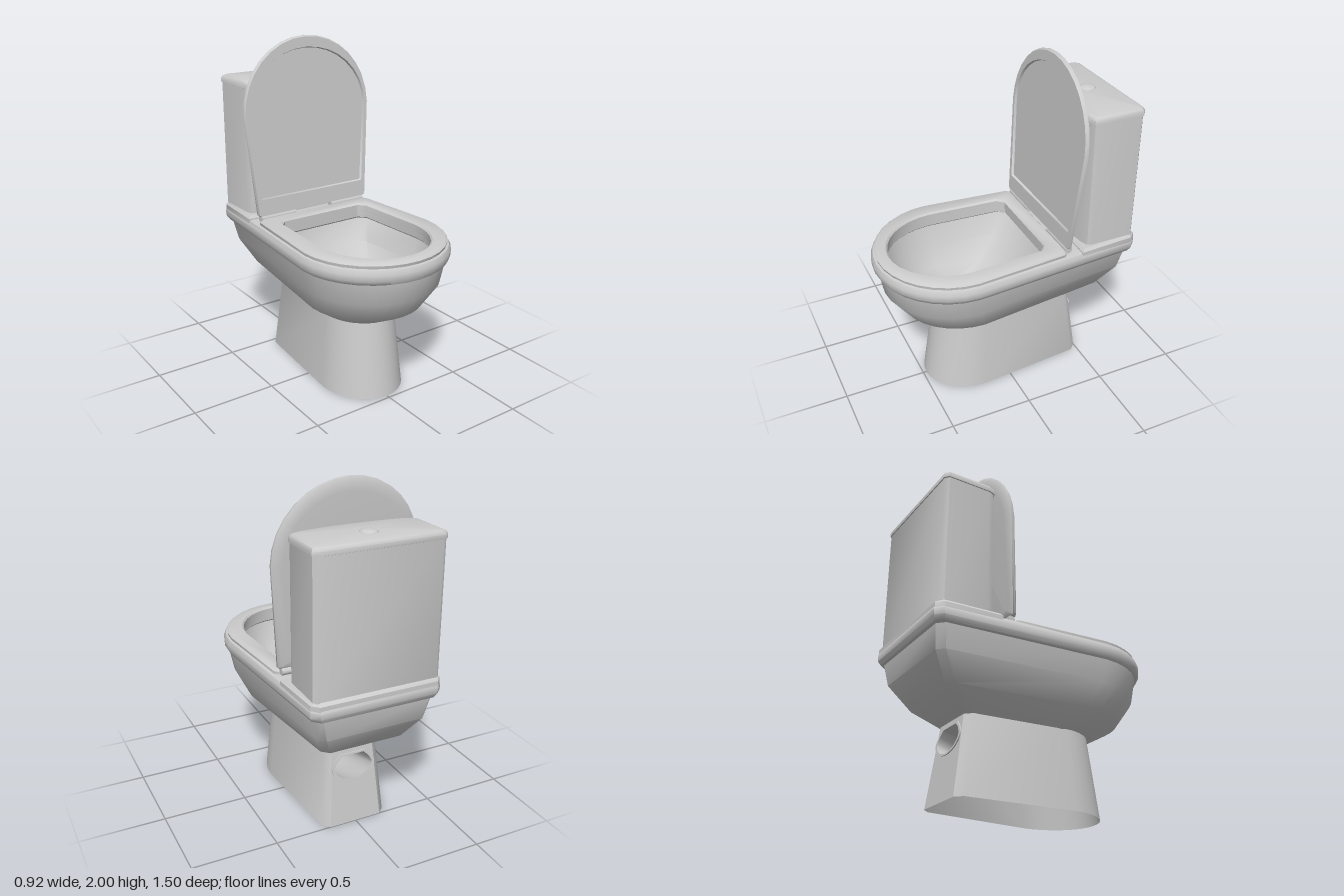
import * as THREE from 'three';
import { toCreasedNormals } from 'three/addons/utils/BufferGeometryUtils.js';

const ARC = 16;

// D-shaped outline: straight chamfered back, tapering sides, round front. Points are [x, z].
function dShape(wb, wm, zb, zm, zf, ch = 0.04) {
  const pts = [[wb - ch, zb], [wb, zb + ch]];
  for (let i = 0; i <= ARC; i++) {
    const t = (i / ARC) * Math.PI;
    pts.push([wm * Math.cos(t), zm + (zf - zm) * Math.sin(t)]);
  }
  pts.push([-wb, zb + ch], [-wb + ch, zb]);
  return pts;
}

// Places an outline at height y and depth z, tipped about x by tilt.
function place(pts, y, z = 0, tilt = 0) {
  return pts.map(([px, pz]) => [px, y - pz * Math.sin(tilt), z + pz * Math.cos(tilt)]);
}
const dRing = (y, ...d) => place(dShape(...d), y);

// Skins a list of equal-count rings, with optional end caps.
function loft(rings, { bottom = false, top = false, closed = true, crease = 0.75 } = {}) {
  const n = rings[0].length, pos = rings.flat(2), idx = [];
  for (let r = 0; r < rings.length - 1; r++) {
    for (let j = 0; j < (closed ? n : n - 1); j++) {
      const a = r * n + j, b = r * n + (j + 1) % n;
      idx.push(a, a + n, b, b, a + n, b + n);
    }
  }
  const cap = (r, up) => {
    const c = pos.length / 3;
    for (let k = 0; k < 3; k++) pos.push(rings[r].reduce((s, p) => s + p[k], 0) / n);
    for (let j = 0; j < n; j++) {
      const a = r * n + j, b = r * n + (j + 1) % n;
      idx.push(...(up ? [a, c, b] : [a, b, c]));
    }
  };
  if (bottom) cap(0, false);
  if (top) cap(rings.length - 1, true);
  const g = new THREE.BufferGeometry();
  g.setAttribute('position', new THREE.Float32BufferAttribute(pos, 3));
  g.setIndex(idx);
  return toCreasedNormals(g, crease);
}

export function createModel() {
  const model = new THREE.Group();
  const ceramic = new THREE.MeshStandardMaterial({ color: 0xcccccc, side: THREE.DoubleSide });
  ceramic.name = 'ceramic';
  const add = (name, geometry) => {
    const m = new THREE.Mesh(geometry, ceramic);
    m.name = name;
    model.add(m);
    return m;
  };

  // Bowl: outer belly, rolled rim, basin, then the trap running back to the outlet lip
  const outlet = dShape(0.1, 0.12, -0.075, -0.01, 0.075, 0.03);
  const lip = outlet.map(([x, z]) => [x * 1.14, z * 1.14]);
  const throat = dShape(0.14, 0.155, -0.11, 0, 0.11, 0.03);
  const backTilt = Math.PI / 2 + 0.131;
  add('bowl', loft([
    dRing(0.455, 0.17, 0.215, -0.44, 0.1, 0.41),
    dRing(0.56, 0.26, 0.345, -0.60, 0.22, 0.60),
    dRing(0.70, 0.33, 0.41, -0.70, 0.27, 0.70),
    dRing(0.83, 0.36, 0.435, -0.72, 0.29, 0.72),
    dRing(0.835, 0.375, 0.445, -0.735, 0.29, 0.735),
    dRing(0.86, 0.39, 0.458, -0.747, 0.29, 0.748),
    dRing(0.895, 0.39, 0.46, -0.75, 0.29, 0.75),
    dRing(0.92, 0.38, 0.447, -0.74, 0.29, 0.738),
    dRing(0.925, 0.365, 0.43, -0.725, 0.29, 0.72),
    dRing(0.925, 0.315, 0.34, -0.20, 0.29, 0.665),
    dRing(0.86, 0.315, 0.34, -0.20, 0.29, 0.665),
    dRing(0.85, 0.325, 0.35, -0.21, 0.29, 0.675),
    dRing(0.72, 0.28, 0.31, -0.15, 0.29, 0.63),
    dRing(0.60, 0.21, 0.25, -0.02, 0.29, 0.54),
    dRing(0.50, 0.15, 0.175, 0.155, 0.25, 0.405, 0.03),
    place(throat, 0.37, 0.25, 0.3),
    place(throat, 0.26, 0.14, 0.95),
    place(outlet, 0.23, -0.05, 1.5),
    place(outlet, 0.28, -0.25, 1.85),
    place(outlet, 0.345, -0.462, backTilt),
    place(lip, 0.345, -0.462, backTilt),
    place(lip, 0.345, -0.45, backTilt),
  ]));

  // Pedestal: hollow foot, open underneath
  add('pedestal', loft([
    dRing(0, 0.20, 0.25, -0.50, 0.18, 0.48),
    dRing(0.46, 0.17, 0.215, -0.44, 0.16, 0.41),
  ], { closed: false }));

  // Sloping back panel of the pedestal with the outlet hole
  const panel = new THREE.Shape([[-0.16, 0], [0.16, 0], [0.13, 0.46], [-0.13, 0.46]]
    .map(p => new THREE.Vector2(...p)));
  panel.holes.push(new THREE.Path(outlet.map(([x, z]) => new THREE.Vector2(x, 0.345 - z))));
  const panelGeo = new THREE.ShapeGeometry(panel);
  const pp = panelGeo.attributes.position;
  for (let i = 0; i < pp.count; i++) pp.setZ(i, -0.5 + pp.getY(i) * 0.06 / 0.46);
  panelGeo.computeVertexNormals();
  add('pedestalBack', panelGeo);

  // Seat ring
  add('seat', loft([
    dRing(0.92, 0.395, 0.435, -0.28, 0.29, 0.725, 0.02),
    dRing(0.94, 0.395, 0.438, -0.28, 0.29, 0.73, 0.02),
    dRing(0.952, 0.38, 0.425, -0.27, 0.29, 0.715, 0.02),
    dRing(0.952, 0.315, 0.34, -0.20, 0.29, 0.665),
    dRing(0.942, 0.305, 0.33, -0.19, 0.29, 0.655),
    dRing(0.90, 0.305, 0.33, -0.19, 0.29, 0.655),
  ]));

  // Raised lid, with a shallow recess on its inner face
  const lid = add('lid', loft([
    dRing(0.014, 0.36, 0.405, 0.105, 0.6, 0.96, 0.005),
    dRing(0, 0.365, 0.41, 0.10, 0.6, 0.965, 0.005),
    dRing(0, 0.385, 0.43, 0, 0.6, 1.025, 0.01),
    dRing(0.008, 0.39, 0.435, 0, 0.6, 1.033, 0.01),
    dRing(0.022, 0.39, 0.435, 0, 0.6, 1.033, 0.01),
    dRing(0.034, 0.37, 0.415, 0.012, 0.6, 1.01, 0.01),
    dRing(0.038, 0.33, 0.375, 0.04, 0.6, 0.96, 0.01),
  ], { bottom: true, top: true }));
  lid.position.set(0, 0.968, -0.277);
  lid.rotation.x = -Math.PI / 2 - 0.073;

  // Hinge barrels
  for (const s of [-1, 1]) {
    const hinge = add(s > 0 ? 'leftHinge' : 'rightHinge',
      new THREE.CylinderGeometry(0.022, 0.022, 0.24, 12).rotateZ(Math.PI / 2));
    hinge.position.set(s * 0.25, 0.948, -0.297);
  }

  // Raised shelf under the tank
  const half = (pts) => [...pts, ...pts.map(([x, z]) => [-x, z]).reverse()];
  const shelf = (w) => half([[0.35 - w, -0.745 + w], [0.388 - w, -0.705], [0.408 - w, -0.37 - w]]);
  add('tankShelf', loft([
    place(shelf(0), 0.88), place(shelf(0), 0.932), place(shelf(0.015), 0.947),
  ], { top: true }));

  // Tank and tank lid: gently bowed front, rounded front corners
  const tank = (g) => half([[0.35 + g, -0.725 - g], [0.375 + g, -0.705 - g], [0.375 + g, -0.45],
    [0.363 + g, -0.42 + g], [0.32 + g, -0.402 + g], [0.17, -0.387 + g], [0.04, -0.382 + g]]);
  add('tank', loft([place(tank(0), 0.94), place(tank(0), 1.715)]));
  add('tankLid', loft([
    place(tank(0), 1.71), place(tank(0.005), 1.712), place(tank(0.005), 1.735),
    place(tank(-0.003), 1.75), place(tank(-0.018), 1.756),
  ], { bottom: true, top: true }));

  // Flush button
  const button = add('flushButton',
    new THREE.SphereGeometry(0.05, 20, 8, 0, Math.PI * 2, 0, Math.PI / 2).scale(1, 0.35, 1));
  button.position.set(0, 1.754, -0.575);

  return model;
}
